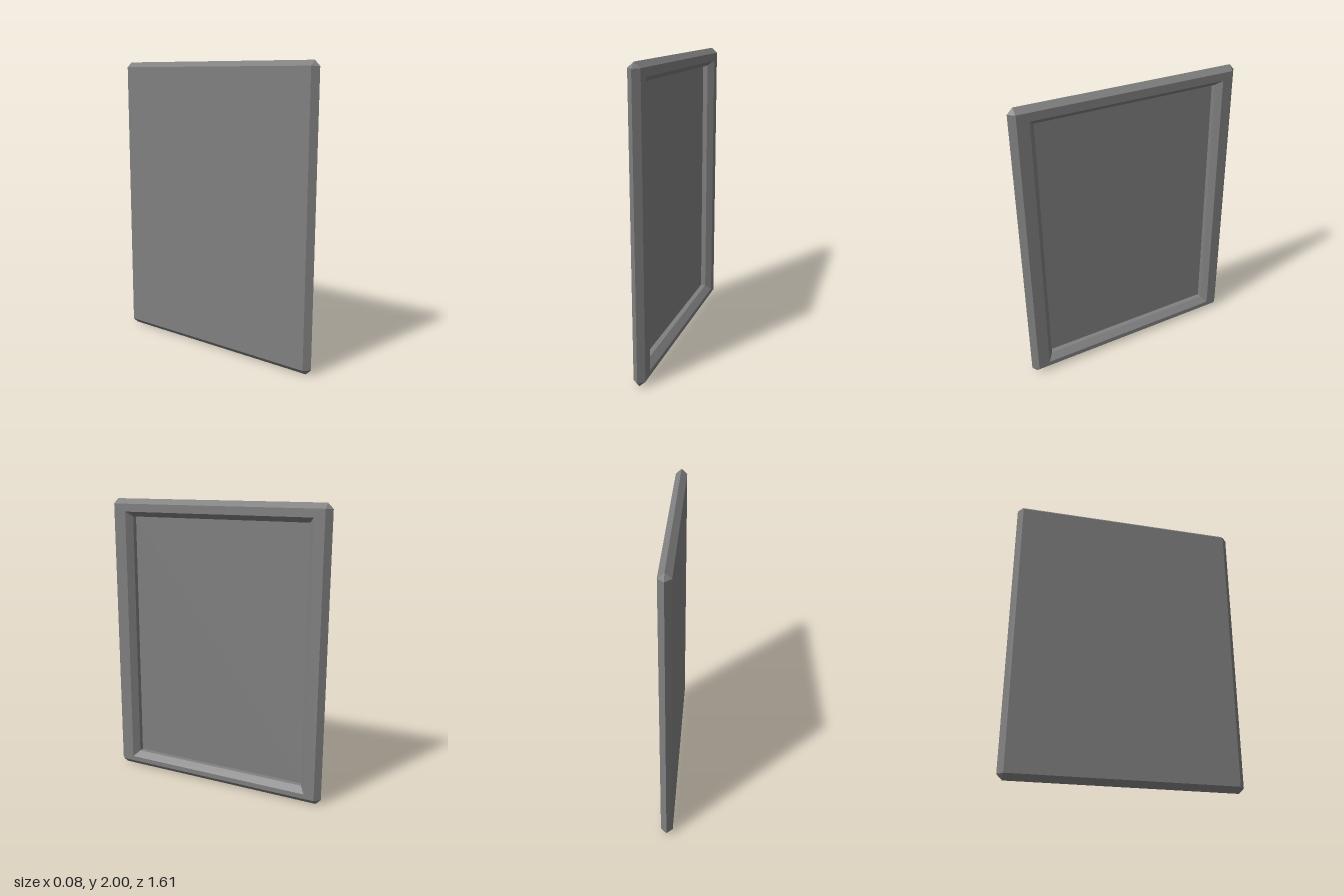
import * as THREE from 'three';

// Rectangular ring in the plane x, counter-clockwise seen from +x, with cut corners.
function ring(x, z0, z1, y0, y1, cut = 0) {
  return [
    [z0, y0 + cut], [z0, y1 - cut], [z0 + cut, y1], [z1 - cut, y1],
    [z1, y1 - cut], [z1, y0 + cut], [z1 - cut, y0], [z0 + cut, y0],
  ].map(([z, y]) => new THREE.Vector3(x, y, z));
}

// Adds a triangle unless its corners coincide.
function tri(out, a, b, c) {
  const area = b.clone().sub(a).cross(c.clone().sub(a)).length();
  if (area > 1e-7) out.push(a, b, c);
}

// Joins consecutive rings with flat faces.
function loft(out, rings) {
  for (let r = 0; r < rings.length - 1; r++) {
    const A = rings[r], B = rings[r + 1];
    for (let i = 0; i < 8; i++) {
      const j = (i + 1) % 8;
      tri(out, A[i], A[j], B[j]);
      tri(out, A[i], B[j], B[i]);
    }
  }
}

// Fills a ring, facing +x or -x.
function cap(out, points, flip) {
  for (let i = 1; i < 7; i++) {
    if (flip) tri(out, points[0], points[i + 1], points[i]);
    else tri(out, points[0], points[i], points[i + 1]);
  }
}

function makeMesh(name, points, material) {
  const geometry = new THREE.BufferGeometry().setFromPoints(points);
  geometry.computeVertexNormals();
  const mesh = new THREE.Mesh(geometry, material);
  mesh.name = name;
  return mesh;
}

export function createModel() {
  const group = new THREE.Group();
  group.name = 'framedPanel';
  const grey = new THREE.MeshStandardMaterial({ color: 0x808080 });
  grey.name = 'grey';

  const back = ring(-0.04, -0.765, 0.765, 0.038, 1.965);
  const rim = ring(0, -0.803, 0.803, 0, 2, 0.037);
  const front = ring(0.04, -0.765, 0.765, 0.038, 1.965);
  const opening = ring(0.04, -0.693, 0.684, 0.071, 1.911);
  const ledge = ring(0, -0.658, 0.645, 0.111, 1.877);
  const floor = ring(-0.035, -0.658, 0.645, 0.111, 1.877);

  // Bevelled frame with a sloped, then straight, inner edge
  const frame = [];
  loft(frame, [back, rim, front, opening, ledge, floor]);
  group.add(makeMesh('frame', frame, grey));

  // Recessed panel
  const panel = [];
  cap(panel, floor, false);
  group.add(makeMesh('recessedPanel', panel, grey));

  // Flat back
  const backing = [];
  cap(backing, back, true);
  group.add(makeMesh('backPanel', backing, grey));

  return group;
}
